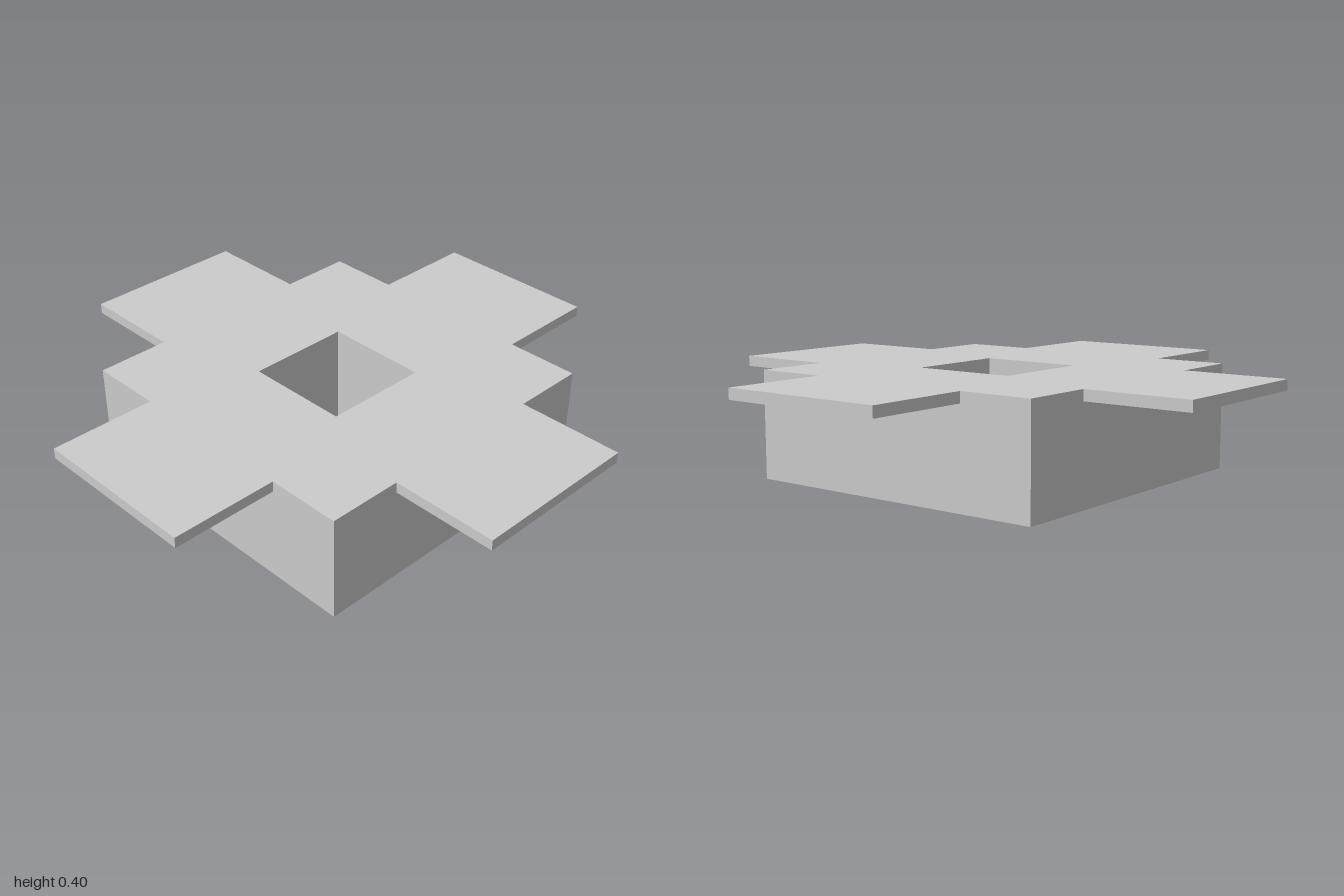
import * as THREE from 'three';

const HEIGHT = 0.4, HALF = 0.6, HOLE = 0.2;
const FLAP_WIDTH = 0.64, FLAP_LENGTH = 0.4, FLAP_THICKNESS = 0.04;

// Outline of a square centred on the origin
function square(half, PathType) {
  return new PathType([[-1, -1], [1, -1], [1, 1], [-1, 1]].map(
    ([x, y]) => new THREE.Vector2(x * half, y * half)));
}

export function createModel() {
  const model = new THREE.Group();
  const material = new THREE.MeshStandardMaterial({ color: 0xcccccc, flatShading: true });

  // Square block with a square hole right through it
  const outline = square(HALF, THREE.Shape);
  outline.holes.push(square(HOLE, THREE.Path));
  const blockGeometry = new THREE.ExtrudeGeometry(outline, { depth: HEIGHT, bevelEnabled: false });
  blockGeometry.rotateX(-Math.PI / 2);
  const block = new THREE.Mesh(blockGeometry, material);
  block.name = 'block';
  model.add(block);

  // Thin flap on each side, flush with the top
  const flapGeometry = new THREE.BoxGeometry(FLAP_WIDTH, FLAP_THICKNESS, FLAP_LENGTH);
  flapGeometry.translate(0, HEIGHT - FLAP_THICKNESS / 2, HALF + FLAP_LENGTH / 2);
  ['frontFlap', 'leftFlap', 'backFlap', 'rightFlap'].forEach((name, i) => {
    const flap = new THREE.Mesh(flapGeometry, material);
    flap.name = name;
    flap.rotation.y = i * Math.PI / 2;
    model.add(flap);
  });

  return model;
}
